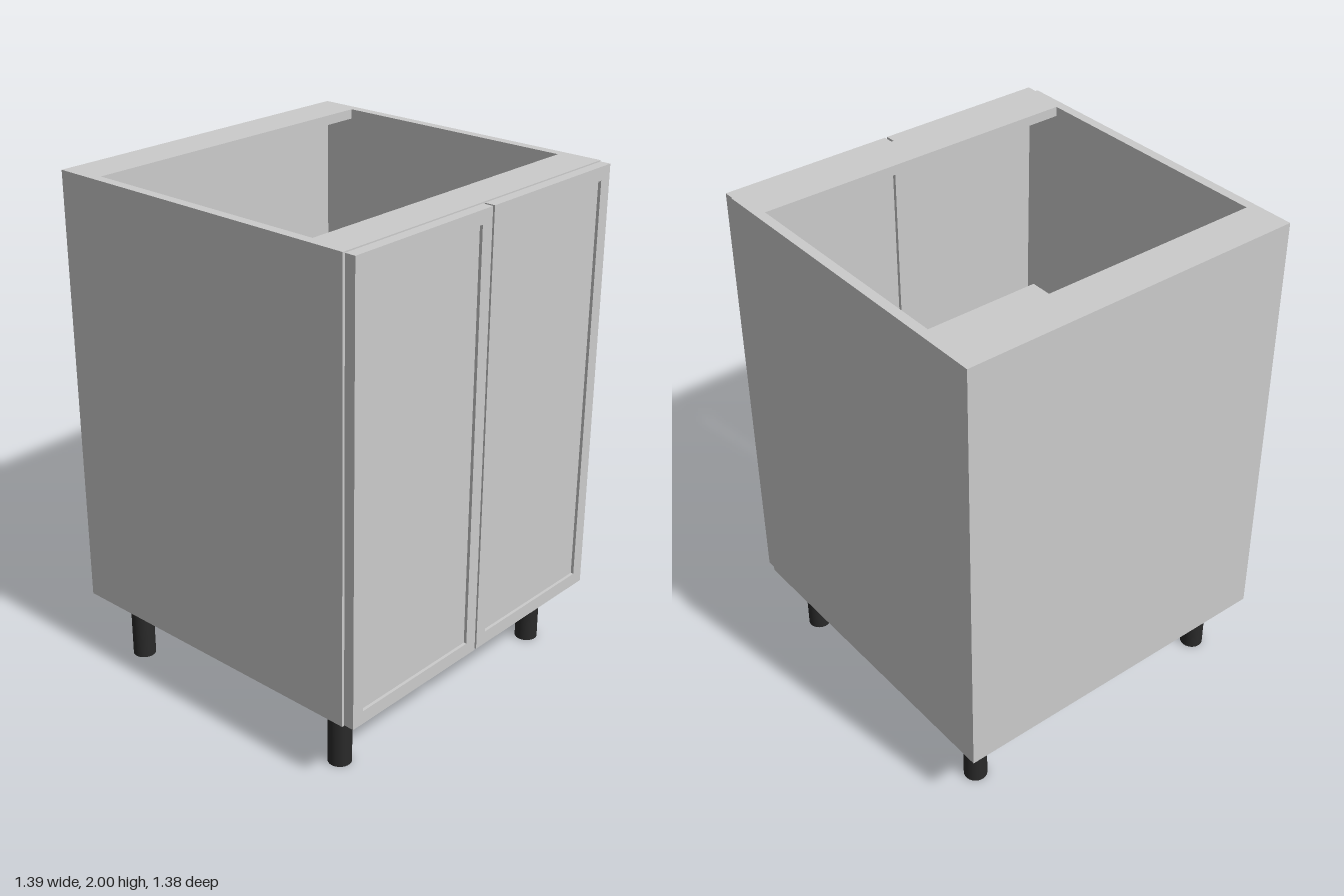
import * as THREE from 'three';

const grey = new THREE.MeshStandardMaterial({ color: 0xcccccc });
const black = new THREE.MeshStandardMaterial({ color: 0x2a2a2a });

// Overall carcass extents and board thickness
const W = 0.693, BOTTOM = 0.267, TOP = 2, BACK = -0.693, FRONT = 0.645, T = 0.038;

// A board given by its min and max along each axis
function board(name, [x0, x1], [y0, y1], [z0, z1]) {
  const mesh = new THREE.Mesh(new THREE.BoxGeometry(x1 - x0, y1 - y0, z1 - z0), grey);
  mesh.position.set((x0 + x1) / 2, (y0 + y1) / 2, (z0 + z1) / 2);
  mesh.name = name;
  return mesh;
}

// Rectangular outline centred on the origin
function rectangle(Kind, w, h) {
  return new Kind([[-w, -h], [w, -h], [w, h], [-w, h]]
    .map(([x, y]) => new THREE.Vector2(x / 2, y / 2)));
}

// Framed door with a shallow recessed panel
function makeDoor(name, x) {
  const door = new THREE.Group();
  const w = 0.682, h = 1.724, rim = 0.052, depth = 0.042, recess = 0.012;
  const outline = rectangle(THREE.Shape, w, h);
  outline.holes.push(rectangle(THREE.Path, w - 2 * rim, h - 2 * rim));
  const frame = new THREE.Mesh(
    new THREE.ExtrudeGeometry(outline, { depth, bevelEnabled: false }), grey);
  frame.name = 'doorFrame';
  const pw = w / 2 - rim, ph = h / 2 - rim;
  door.add(frame, board('doorPanel', [-pw, pw], [-ph, ph], [0, depth - recess]));
  door.position.set(x, 1.135, 0.649);
  door.name = name;
  return door;
}

export function createModel() {
  const cabinet = new THREE.Group();
  cabinet.name = 'baseCabinet';
  const inner = W - T;

  // Carcass: sides, floor, back and the two top rails
  cabinet.add(
    board('rightSide', [-W, -inner], [BOTTOM, TOP], [BACK, FRONT]),
    board('leftSide', [inner, W], [BOTTOM, TOP], [BACK, FRONT]),
    board('floorPanel', [-inner, inner], [BOTTOM, BOTTOM + T], [BACK, FRONT]),
    board('backPanel', [-inner, inner], [BOTTOM + T, TOP - T], [BACK, BACK + T]),
    board('backRail', [-inner, inner], [TOP - T, TOP], [BACK, -0.525]),
    board('frontRail', [-inner, inner], [TOP - T, TOP], [0.485, FRONT]),
    // Loose shelf with a small gap at each end
    board('shelf', [-0.649, 0.649], [1.115, 1.153], [BACK + T, 0.6]),
  );

  // Doors and round legs
  cabinet.add(makeDoor('rightDoor', -0.346), makeDoor('leftDoor', 0.346));
  const legGeometry = new THREE.CylinderGeometry(0.045, 0.045, BOTTOM, 32);
  for (const x of [-0.57, 0.57]) {
    for (const z of [-0.543, 0.523]) {
      const leg = new THREE.Mesh(legGeometry, black);
      leg.position.set(x, BOTTOM / 2, z);
      leg.name = (z > 0 ? 'front' : 'back') + (x > 0 ? 'Left' : 'Right') + 'Leg';
      cabinet.add(leg);
    }
  }
  return cabinet;
}
